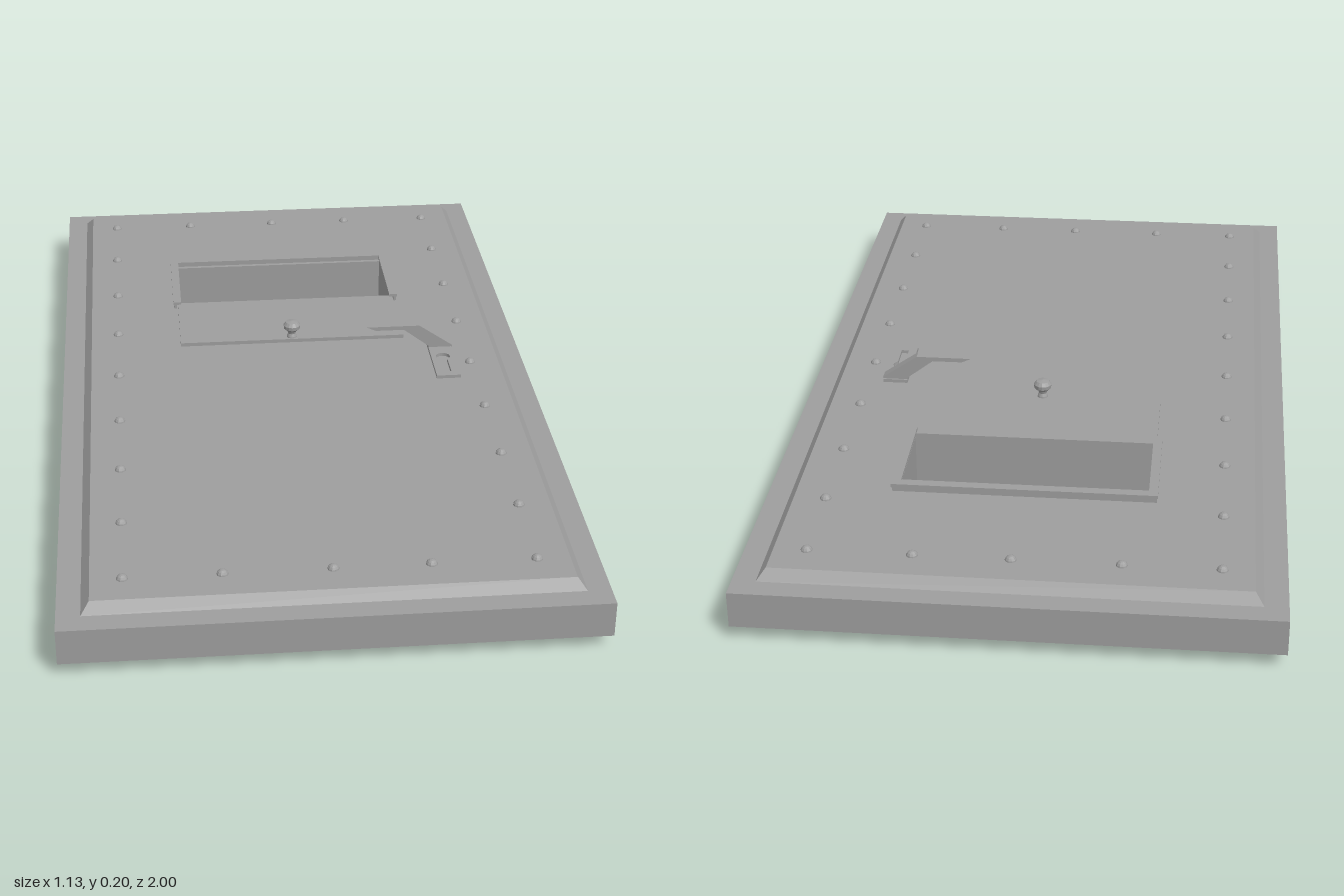
import * as THREE from 'three';

const material = new THREE.MeshStandardMaterial({ color: 0x9d9d9d, flatShading: true });

function add(parent, name, geometry, x = 0, y = 0, z = 0) {
  const mesh = new THREE.Mesh(geometry, material);
  mesh.name = name;
  mesh.position.set(x, y, z);
  parent.add(mesh);
  return mesh;
}

const points = list => list.map(p => new THREE.Vector2(...p));

// Counter-clockwise plan-view rectangle; shape y is -z
function rect(x0, x1, z0, z1, Type = THREE.Shape) {
  return new Type(points([[x0, -z1], [x1, -z1], [x1, -z0], [x0, -z0]]));
}

// Extrude a plan-view shape upwards from y0 to y1
function slab(shape, y0, y1) {
  return new THREE.ExtrudeGeometry(shape, { depth: y1 - y0, bevelEnabled: false, curveSegments: 10 })
    .rotateX(-Math.PI / 2).translate(0, y0, 0);
}

// Four sloping strips from a large rectangle at y = 0 up to a smaller one
function bevelRing(xLow, zLow, xHigh, zHigh, height) {
  const signs = [[-1, 1], [1, 1], [1, -1], [-1, -1]];
  const positions = [];
  for (let i = 0; i < 4; i++) {
    const [a, b] = [signs[i], signs[(i + 1) % 4]];
    const low = s => [s[0] * xLow, 0, s[1] * zLow];
    const high = s => [s[0] * xHigh, height, s[1] * zHigh];
    positions.push(...low(a), ...low(b), ...high(b), ...low(a), ...high(b), ...high(a));
  }
  const geometry = new THREE.BufferGeometry();
  geometry.setAttribute('position', new THREE.Float32BufferAttribute(positions, 3));
  geometry.computeVertexNormals();
  return geometry;
}

export function createModel() {
  const door = new THREE.Group();
  door.name = 'door';

  // Outer frame
  const frame = rect(-0.565, 0.565, -1, 1);
  frame.holes.push(rect(-0.49, 0.49, -0.92, 0.92, THREE.Path));
  add(door, 'doorFrame', slab(frame, 0.033, 0.113));

  // Raised panel with the viewing window cut through, bevelled on both faces
  const panel = rect(-0.497, 0.497, -0.932, 0.932);
  panel.holes.push(rect(-0.268, 0.275, -0.588, -0.36, THREE.Path));
  add(door, 'doorPanel', slab(panel, 0.013, 0.135));
  add(door, 'frontBevel', bevelRing(0.515, 0.952, 0.497, 0.932, 0.022), 0, 0.113, 0);
  add(door, 'backBevel', bevelRing(0.515, 0.952, 0.497, 0.932, 0.02), 0, 0.033, 0).rotation.x = Math.PI;

  // Rivets round the edge on both faces
  const rivets = new THREE.Group();
  rivets.name = 'rivets';
  door.add(rivets);
  const spots = [];
  for (const z of [-0.859, 0.859]) for (const x of [-0.43, -0.225, 0.003, 0.207, 0.427]) spots.push([x, z]);
  for (let i = -3; i <= 3; i++) for (const x of [-0.43, 0.427]) spots.push([x, i * 0.217]);
  const dome = new THREE.SphereGeometry(0.013, 10, 4, 0, Math.PI * 2, 0, Math.PI / 2);
  for (const [x, z] of spots) {
    add(rivets, 'frontRivet', dome, x, 0.133, z);
    add(rivets, 'backRivet', dome, x, 0.013, z).rotation.x = Math.PI;
  }

  // Window rail: upright walls with an overhanging lip, open towards the shutter
  const rail = new THREE.Group();
  rail.name = 'windowRail';
  door.add(rail);
  const railShape = (outer, inner, zOuter, zInner) => new THREE.Shape(points([
    [-outer, 0.35], [-inner, 0.35], [-inner, -zInner], [inner, -zInner],
    [inner, 0.35], [outer, 0.35], [outer, -zOuter], [-outer, -zOuter],
  ]));
  add(rail, 'railWall', slab(railShape(0.288, 0.281, -0.606, -0.598), 0.134, 0.147), 0.002);
  add(rail, 'railLip', slab(railShape(0.29, 0.27, -0.608, -0.586), 0.146, 0.153), 0.002);

  // Sliding shutter, pushed open, and its knob
  add(door, 'shutter', slab(rect(-0.276, 0.281, -0.362, -0.14), 0.134, 0.144));
  const knobProfile = points([[0, 0.14], [0.013, 0.14], [0.012, 0.147], [0.009, 0.154], [0.011, 0.16],
    [0.02, 0.168], [0.021, 0.177], [0.015, 0.185], [0, 0.188]]);
  add(door, 'shutterKnob', new THREE.LatheGeometry(knobProfile, 14), 0.002, 0, -0.155);

  // Lock plate with keyhole
  const plate = rect(0.334, 0.392, -0.1, 0.077);
  const keyhole = new THREE.Path();
  keyhole.absarc(0.363, 0.02, 0.017, -Math.PI / 3, Math.PI * 4 / 3, false);
  keyhole.lineTo(0.354, -0.057);
  keyhole.lineTo(0.372, -0.057);
  keyhole.closePath();
  plate.holes.push(keyhole);
  add(door, 'lockPlate', slab(plate, 0.134, 0.143));

  // Bent lever handle
  const lever = new THREE.Shape(points([[0.334, 0.14], [0.393, 0.14], [0.393, 0.147], [0.31, 0.204],
    [0.18, 0.204], [0.202, 0.194], [0.272, 0.194], [0.334, 0.147]]));
  add(door, 'leverHandle', new THREE.ExtrudeGeometry(lever, { depth: 0.026, bevelEnabled: false }), 0, 0, -0.096);

  return door;
}
